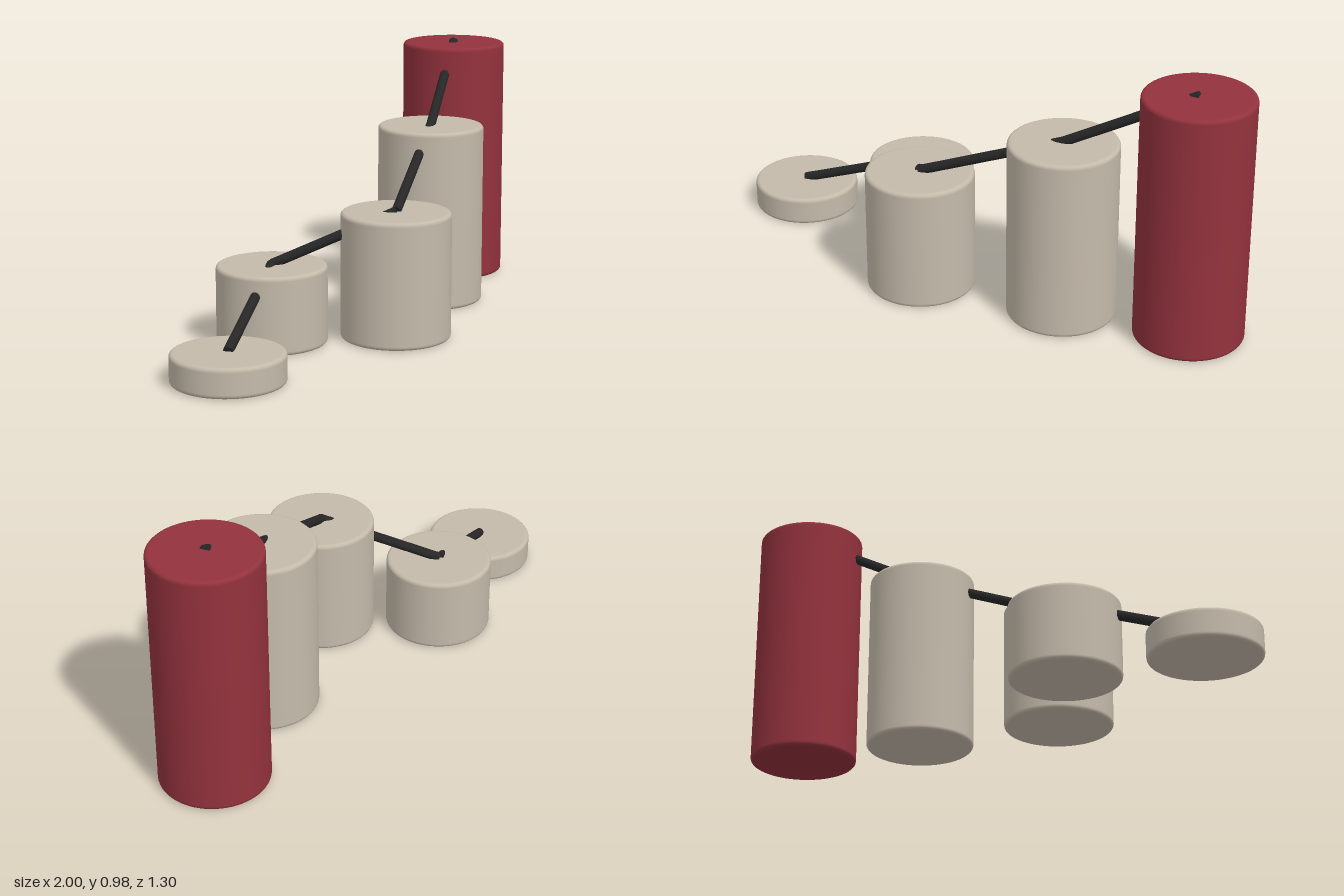
import * as THREE from 'three';

const RADIUS = 0.207, BEVEL = 0.014, ROD = 0.0185;

// x, z and height of each pillar, lowest to tallest
const STEPS = [
  [-0.79, 0.44, 0.11],
  [-0.405, 0.09, 0.295],
  [0.017, 0.285, 0.48],
  [0.44, -0.1, 0.705],
  [0.793, -0.445, 0.965],
];

// Solid round pillar with softly rounded rims
function pillarGeometry(height) {
  const pts = [new THREE.Vector2(0, 0), new THREE.Vector2(RADIUS - BEVEL - 0.002, 0)];
  const arc = (cy, from) => {
    for (let i = 0; i <= 5; i++) {
      const a = from + (i / 5) * Math.PI / 2;
      pts.push(new THREE.Vector2(RADIUS - BEVEL + BEVEL * Math.cos(a), cy + BEVEL * Math.sin(a)));
    }
  };
  arc(BEVEL, -Math.PI / 2);
  pts.push(new THREE.Vector2(RADIUS, BEVEL + 0.002), new THREE.Vector2(RADIUS, height - BEVEL - 0.002));
  arc(height - BEVEL, 0);
  pts.push(new THREE.Vector2(RADIUS - BEVEL - 0.002, height), new THREE.Vector2(0, height));
  return new THREE.LatheGeometry(pts, 64);
}

// Straight rod between two points
function rodBetween(a, b, material) {
  const dir = b.clone().sub(a);
  const rod = new THREE.Mesh(new THREE.CylinderGeometry(ROD, ROD, dir.length(), 20), material);
  rod.position.copy(a).addScaledVector(dir, 0.5);
  rod.quaternion.setFromUnitVectors(new THREE.Vector3(0, 1, 0), dir.normalize());
  return rod;
}

export function createModel() {
  const group = new THREE.Group();
  const stone = new THREE.MeshStandardMaterial({ color: 0xc4baaa });
  const red = new THREE.MeshStandardMaterial({ color: 0x93323d });
  const dark = new THREE.MeshStandardMaterial({ color: 0x262626 });

  // Rising pillars, the tallest in red
  STEPS.forEach(([x, z, h], i) => {
    const last = i === STEPS.length - 1;
    const pillar = new THREE.Mesh(pillarGeometry(h), last ? red : stone);
    pillar.name = last ? 'tallPillar' : `pillar${i + 1}`;
    pillar.position.set(x, 0, z);
    group.add(pillar);
  });

  // Rods linking the centre of each top to the next
  const tops = STEPS.map(([x, z, h]) => new THREE.Vector3(x, h, z));
  for (let i = 0; i < tops.length - 1; i++) {
    const rod = rodBetween(tops[i], tops[i + 1], dark);
    rod.name = `connectingRod${i + 1}`;
    group.add(rod);
  }
  return group;
}
